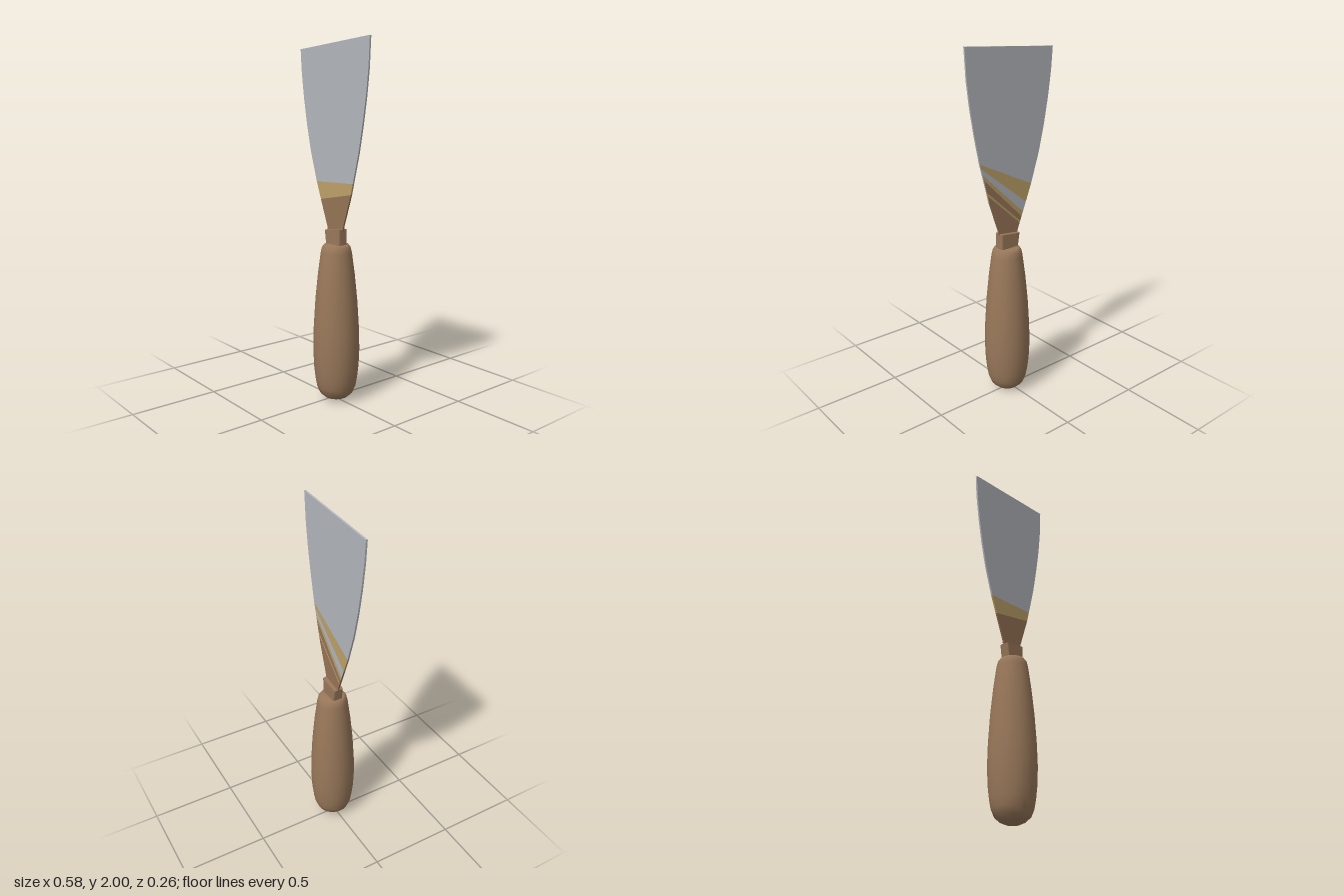
import * as THREE from 'three';

const mat = (name, color, side = THREE.FrontSide) => {
  const m = new THREE.MeshStandardMaterial({ color, side });
  m.name = name;
  return m;
};

// Blade side edges as [x, y], from neck to tip
const LEFT = [[-0.045, 0.95], [-0.05, 0.98], [-0.11, 1.135], [-0.148, 1.235], [-0.2, 1.4], [-0.235, 1.55], [-0.262, 1.7], [-0.281, 1.84], [-0.29, 1.965]];
const RIGHT = [[0.078, 0.95], [0.08, 0.99], [0.146, 1.18], [0.162, 1.24], [0.205, 1.4], [0.236, 1.55], [0.262, 1.7], [0.279, 1.84], [0.288, 2]];

function edgeX(edge, y) {
  for (let i = 1; i < edge.length; i++) {
    const [x0, y0] = edge[i - 1], [x1, y1] = edge[i];
    if (y <= y1 || i === edge.length - 1) return x0 + (x1 - x0) * (y - y0) / (y1 - y0);
  }
}

const FRONT_Z = 0.004, BACK_Z = -0.006;

// One coloured band across the blade: a front sheet with edge walls, or a back sheet
function bladeBand(name, material, [l0, l1, r0, r1], back = false) {
  const pos = [], rows = Math.max(1, Math.ceil(Math.max(l1 - l0, r1 - r0) / 0.04));
  const quad = (a, b, c, d) => pos.push(...a, ...b, ...c, ...a, ...c, ...d);
  const row = t => {
    const yl = l0 + (l1 - l0) * t, yr = r0 + (r1 - r0) * t;
    const xl = edgeX(LEFT, yl), xr = edgeX(RIGHT, yr);
    return [[xl, yl, FRONT_Z], [xr, yr, FRONT_Z], [xr, yr, BACK_Z], [xl, yl, BACK_Z]];
  };
  for (let i = 0; i < rows; i++) {
    const a = row(i / rows), b = row((i + 1) / rows);
    for (const k of back ? [2] : [0, 1, 3]) {
      const n = (k + 1) % 4;
      quad(a[k], a[n], b[n], b[k]);
    }
  }
  // Tip edge
  const end = row(1);
  if (!back && l1 > 1.9) quad(...end);
  const g = new THREE.BufferGeometry();
  g.setAttribute('position', new THREE.Float32BufferAttribute(pos, 3));
  g.computeVertexNormals();
  const mesh = new THREE.Mesh(g, material);
  mesh.name = name;
  return mesh;
}

export function createModel() {
  const steel = mat('steel', 0xb2b5ba, THREE.DoubleSide);
  const brass = mat('brass', 0xbca067, THREE.DoubleSide);
  const bladeBrown = mat('neckBrown', 0x967456, THREE.DoubleSide);
  const wood = mat('wood', 0x99785a);
  const group = new THREE.Group();
  group.name = 'scraper';

  // Turned handle
  const profile = [[0, 0], [0.035, 0.004], [0.068, 0.018], [0.094, 0.042], [0.11, 0.08], [0.119, 0.13], [0.127, 0.2], [0.131, 0.3], [0.128, 0.42],
    [0.118, 0.58], [0.103, 0.73], [0.087, 0.85], [0.08, 0.88], [0.067, 0.897], [0, 0.897]].map(p => new THREE.Vector2(...p));
  const handle = new THREE.Mesh(new THREE.LatheGeometry(profile, 24), wood);
  handle.name = 'handle';
  handle.position.x = 0.021;
  group.add(handle);

  // Collar: rounded block, wider and slanted at the top
  const s = new THREE.Shape(), w = 0.065, d = 0.029, r = 0.01;
  s.moveTo(-w + r, -d);
  s.lineTo(w - r, -d).quadraticCurveTo(w, -d, w, -d + r);
  s.lineTo(w, d - r).quadraticCurveTo(w, d, w - r, d);
  s.lineTo(-w + r, d).quadraticCurveTo(-w, d, -w, d - r);
  s.lineTo(-w, -d + r).quadraticCurveTo(-w, -d, -w + r, -d);
  const collarGeo = new THREE.ExtrudeGeometry(s, { depth: 1, bevelEnabled: false, curveSegments: 3 });
  collarGeo.rotateX(-Math.PI / 2);
  const p = collarGeo.attributes.position;
  for (let i = 0; i < p.count; i++) {
    const x = p.getX(i), t = p.getY(i);
    const base = x * 0.89 + 0.021, top = x + 0.015;
    p.setXY(i, base + (top - base) * t, 0.885 + t * (0.093 + x * 0.11));
  }
  collarGeo.computeVertexNormals();
  const collar = new THREE.Mesh(collarGeo, wood);
  collar.name = 'collar';
  group.add(collar);

  // Blade bands as [left bottom, left top, right bottom, right top]
  const blade = new THREE.Group();
  blade.name = 'blade';
  blade.add(
    bladeBand('neckFront', bladeBrown, [0.96, 1.135, 0.97, 1.18]),
    bladeBand('brassFront', brass, [1.135, 1.232, 1.18, 1.24]),
    bladeBand('steelFront', steel, [1.232, 1.965, 1.24, 2]),
  );
  // Back bands fan out from the right edge
  const fan = [
    [bladeBrown, 0.96, 0.97], [brass, 1.02, 1.22], [bladeBrown, 1.03, 1.24], [brass, 1.055, 1.31],
    [steel, 1.08, 1.34], [brass, 1.135, 1.375], [steel, 1.232, 1.4], [null, 1.965, 2],
  ];
  for (let i = 0; i < fan.length - 1; i++) {
    const [m, l0, r0] = fan[i], [, l1, r1] = fan[i + 1];
    blade.add(bladeBand(`back${i + 1}`, m, [l0, l1, r0, r1], true));
  }
  group.add(blade);
  return group;
}
